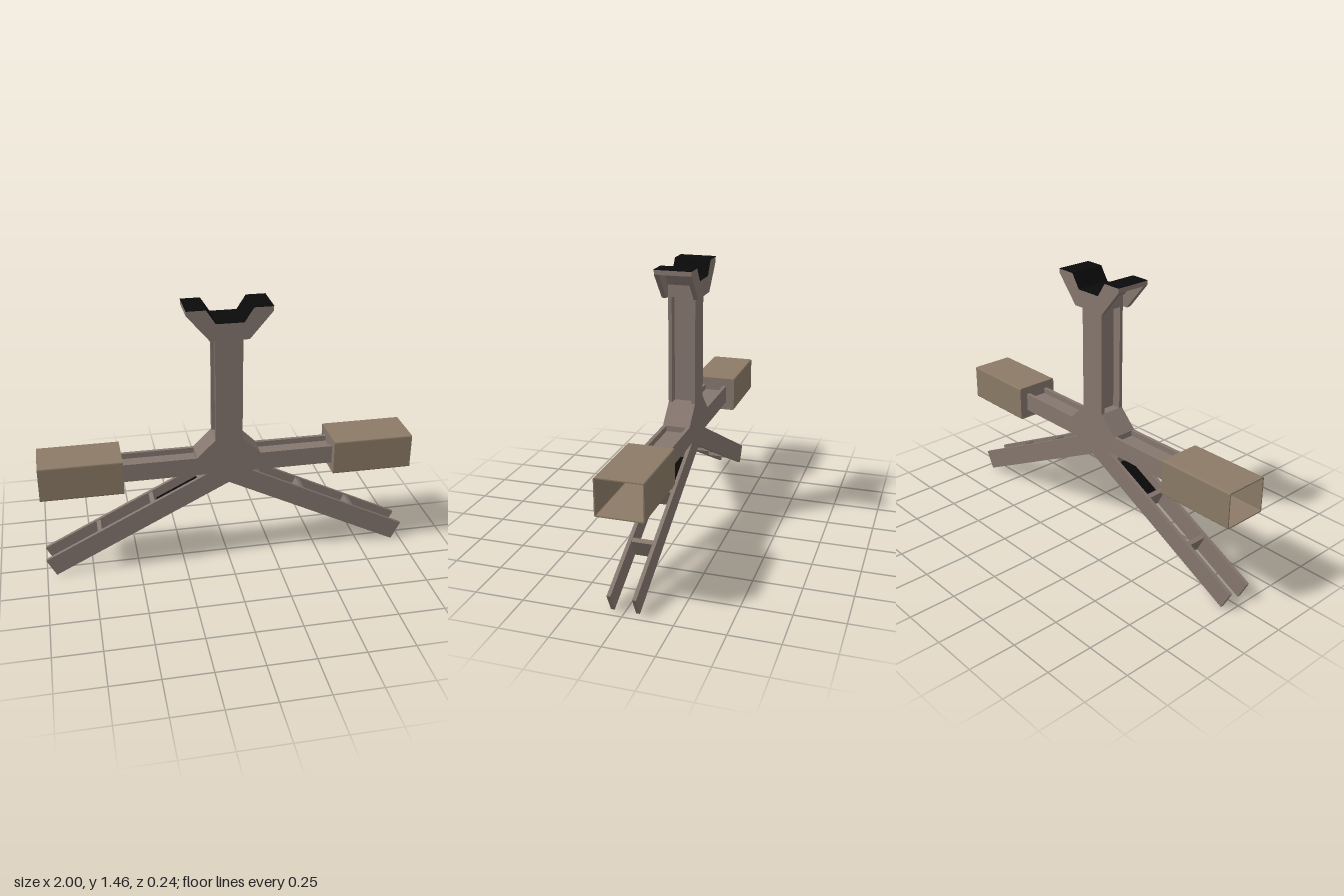
import * as THREE from 'three';

const frame = new THREE.MeshStandardMaterial({ color: 0x85776f });
frame.name = 'taupe frame';
const sleeve = new THREE.MeshStandardMaterial({ color: 0x8b7a66, side: THREE.DoubleSide });
sleeve.name = 'brown sleeve';
const lining = new THREE.MeshStandardMaterial({ color: 0x0a0a0a });
lining.name = 'black lining';

// Closed outline mirrored across x = 0 from its right half, listed bottom to top
function mirrored(half) {
  const left = half.filter(p => p[0] > 0).reverse().map(([x, y]) => [-x, y]);
  return half.concat(left);
}

function slab(name, points, z0, z1, material = frame) {
  const shape = new THREE.Shape(points.map(([x, y]) => new THREE.Vector2(x, y)));
  const geo = new THREE.ExtrudeGeometry(shape, { depth: z1 - z0, bevelEnabled: false });
  geo.translate(0, 0, z0);
  const mesh = new THREE.Mesh(geo, material);
  mesh.name = name;
  return mesh;
}

function block(name, w, h, d, x, y, rot = 0, material = frame) {
  const mesh = new THREE.Mesh(new THREE.BoxGeometry(w, h, d), material);
  mesh.name = name;
  mesh.position.set(x, y, 0);
  mesh.rotation.z = rot;
  return mesh;
}

function roundedRect(path, w, h, r) {
  path.moveTo(-w + r, -h);
  path.lineTo(w - r, -h); path.quadraticCurveTo(w, -h, w, -h + r);
  path.lineTo(w, h - r); path.quadraticCurveTo(w, h, w - r, h);
  path.lineTo(-w + r, h); path.quadraticCurveTo(-w, h, -w, h - r);
  path.lineTo(-w, -h + r); path.quadraticCurveTo(-w, -h, -w + r, -h);
  return path;
}

export function createModel() {
  const group = new THREE.Group();

  // Front and back side plates: post, arms and legs in one outline
  const outline = mirrored([
    [0, 0.477], [0.95, 0], [1, 0.097], [0.12, 0.537], [0.57, 0.537], [0.57, 0.637],
    [0.17, 0.637], [0.072, 0.735], [0.072, 1.297],
  ]);
  group.add(slab('frontPlate', outline, 0.053, 0.072));
  group.add(slab('backPlate', outline, -0.072, -0.053));

  // Solid hub between the plates
  group.add(slab('hub', mirrored([
    [0, 0.477], [0.13, 0.412], [0.172, 0.511], [0.12, 0.537], [0.17, 0.537],
    [0.17, 0.637], [0.072, 0.735],
  ]), -0.053, 0.053));

  // Post web, set back to leave a channel on each side
  group.add(block('postWeb', 0.05, 0.64, 0.106, 0, 1.035));

  // Cradle: two cheeks joined by a top skin, hollow underneath
  const cheek = mirrored([
    [0.1, 1.297], [0.22, 1.438], [0.22, 1.461], [0.12, 1.461], [0.072, 1.387],
  ]);
  group.add(slab('cradleFrontCheek', cheek, 0.072, 0.096));
  group.add(slab('cradleBackCheek', cheek, -0.096, -0.072));
  group.add(slab('cradleSkin', mirrored([
    [0.085, 1.364], [0.135, 1.437], [0.22, 1.437], [0.22, 1.461], [0.12, 1.461], [0.072, 1.387],
  ]), -0.072, 0.072));
  group.add(block('cradleBase', 0.144, 0.07, 0.144, 0, 1.332));

  // Thin black lining over the cradle's top faces
  group.add(slab('cradleLining', mirrored([
    [0.072, 1.387], [0.12, 1.461], [0.22, 1.461], [0.22, 1.464], [0.118, 1.464], [0.07, 1.39],
  ]), -0.096, 0.096, lining));

  for (const side of [1, -1]) {
    // Arm web with channels above and below
    group.add(block('armWeb', 0.42, 0.04, 0.106, side * 0.36, 0.587));

    // Cross plates between the leg plates
    for (const [x, y] of [[0.68, 0.195], [0.39, 0.341]]) {
      group.add(block('legCrossPlate', 0.025, 0.104, 0.106, side * x, y, -side * 0.463));
    }

    // Black panel in the leg bay next to the hub
    group.add(block('legBayPanel', 0.27, 0.008, 0.106, side * 0.265, 0.404, -side * 0.463, lining));

    // Open-ended sleeve with a plate closing its inner end
    const ring = roundedRect(new THREE.Shape(), 0.12, 0.095, 0.008);
    ring.holes.push(roundedRect(new THREE.Path(), 0.114, 0.089, 0.005));
    const geo = new THREE.ExtrudeGeometry(ring, { depth: 0.435, bevelEnabled: false, curveSegments: 3 });
    geo.rotateY(Math.PI / 2);
    geo.translate(side > 0 ? 0.565 : -1, 0.587, 0);
    const cover = new THREE.Mesh(geo, sleeve);
    cover.name = 'sleeve';
    group.add(cover);
    group.add(block('sleeveEndPlate', 0.02, 0.178, 0.228, side * 0.577, 0.587));

    // Black inset where the arm meets the sleeve's end plate
    group.add(block('sleeveEndInset', 0.004, 0.05, 0.13, side * 0.589, 0.59, 0, lining));
  }
  return group;
}
